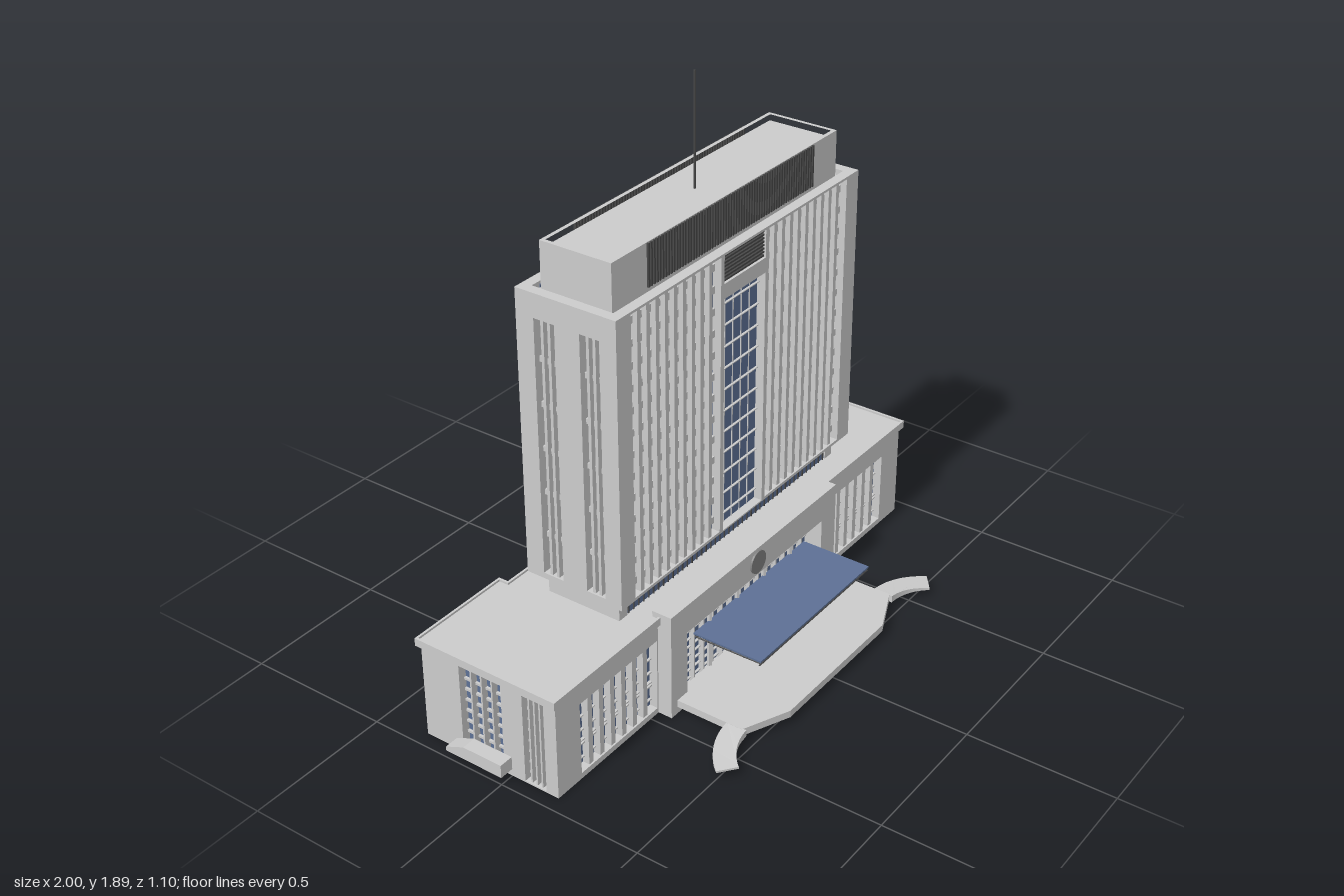
import * as THREE from 'three';
import { mergeGeometries } from 'three/addons/utils/BufferGeometryUtils.js';

const paint = (color) => new THREE.MeshStandardMaterial({ color, flatShading: true });
const GREY = paint(0xcccccc), GLASS = paint(0x5d7095), DARK = paint(0x484848), MID = paint(0x808080);

// One mesh from several geometries
function part(parent, name, geos, mat = GREY) {
  const flat = geos.map((g) => (g.index ? g.toNonIndexed() : g));
  const mesh = new THREE.Mesh(mergeGeometries(flat), mat);
  mesh.name = name;
  parent.add(mesh);
  return mesh;
}

// Box given by its limits
function box(x0, x1, y0, y1, z0, z1) {
  return new THREE.BoxGeometry(x1 - x0, y1 - y0, z1 - z0)
    .translate((x0 + x1) / 2, (y0 + y1) / 2, (z0 + z1) / 2);
}

// Thin round bar between two points
function rod(a, b, r = 0.003) {
  const p = new THREE.Vector3(...a), q = new THREE.Vector3(...b), d = q.clone().sub(p);
  const turn = new THREE.Quaternion().setFromUnitVectors(new THREE.Vector3(0, 1, 0), d.clone().normalize());
  return new THREE.CylinderGeometry(r, r, d.length(), 6).applyQuaternion(turn)
    .translate(...p.add(q).multiplyScalar(0.5).toArray());
}

const polygon = (pts) => new THREE.Shape(pts.map(([x, y]) => new THREE.Vector2(x, y)));
const rect = (x0, x1, y0, y1) => polygon([[x0, y0], [x1, y0], [x1, y1], [x0, y1]]);

// Plan outline (x, z) raised to a slab
function slab(pts, y0, y1, hole) {
  const shape = polygon(pts.map(([x, z]) => [x, -z]));
  if (hole) shape.holes.push(polygon(hole.map(([x, z]) => [x, -z])));
  return new THREE.ExtrudeGeometry(shape, { depth: y1 - y0, bevelEnabled: false })
    .rotateX(-Math.PI / 2).translate(0, y0, 0);
}

// Wall with recessed bays; each bay has glass, upright ribs and cross bands.
// Local frame: x along the wall, outer face at z = 0.
function facade(parent, name, [x, z, turn], [u0, u1, y0, y1], bays, t = 0.035) {
  const g = new THREE.Group();
  g.name = name;
  g.position.set(x, 0, z);
  g.rotation.y = turn;
  parent.add(g);
  const shape = rect(u0, u1, y0, y1), glass = [], bars = [], louvres = [];
  for (const b of bays) {
    const [a, c, d, e] = b.at;
    shape.holes.push(rect(a, c, d, e));
    glass.push(box(a, c, d, e, -t - 0.002, -t + 0.005));
    const pitch = (c - a) / b.cols, rib = b.rib ?? 0.012;
    for (let i = 1; i < b.cols; i++) {
      bars.push(box(a + i * pitch - rib / 2, a + i * pitch + rib / 2, d, e, -t, b.front ?? -0.006));
    }
    const band = b.band ?? 0.02;
    for (let i = 0; i < b.rows; i++) {
      const y = d + (i + 0.5) * (e - d) / b.rows;
      (b.louvre ? louvres : bars).push(box(a, c, y - band / 2, y + band / 2, -t, b.louvre ? -0.006 : -t + 0.013));
    }
    for (const y of b.bands ?? []) bars.push(box(a, c, y - band / 2, y + band / 2, -t, -t + 0.015));
  }
  part(g, name + 'Wall', [new THREE.ExtrudeGeometry(shape, { depth: t, bevelEnabled: false }).translate(0, 0, -t)]);
  part(g, name + 'Glass', glass, GLASS);
  if (bars.length) part(g, name + 'Bars', bars);
  if (louvres.length) part(g, name + 'Louvres', louvres, DARK);
}

function buildTower(root) {
  const g = new THREE.Group();
  g.name = 'tower';
  g.position.set(0.0525, 0, -0.05);
  root.add(g);
  part(g, 'towerCore', [box(-0.593, 0.593, 0.432, 1.38, -0.146, 0.146)]);
  const grid = { cols: 10, rows: 13, rib: 0.016, band: 0.024 };
  const longBays = [
    { ...grid, at: [-0.56, -0.125, 0.44, 1.392] },
    { ...grid, at: [0.125, 0.56, 0.44, 1.392] },
    { at: [-0.108, 0.108, 0.435, 1.25], cols: 5, rows: 11, rib: 0.003, band: 0.003, front: -0.027 },
    { at: [-0.108, 0.108, 1.3, 1.392], cols: 1, rows: 8, band: 0.006, louvre: true },
  ];
  const strip = { cols: 3, rows: 0, bands: [0.58, 0.73, 0.88, 1.03, 1.18], rib: 0.01, band: 0.018 };
  const endBays = [
    { ...strip, at: [-0.12, -0.05, 0.45, 1.32] },
    { ...strip, at: [0.04, 0.115, 0.45, 1.32] },
  ];
  const flipped = endBays.map((b) => ({ ...b, at: [-b.at[1], -b.at[0], b.at[2], b.at[3]] }));
  facade(g, 'towerFront', [0, 0.18, 0], [-0.628, 0.628, 0.43, 1.4], longBays);
  facade(g, 'towerBack', [0, -0.18, Math.PI], [-0.628, 0.628, 0.43, 1.4], longBays);
  facade(g, 'towerLeft', [0.628, 0, Math.PI / 2], [-0.145, 0.145, 0.43, 1.4], endBays);
  facade(g, 'towerRight', [-0.628, 0, -Math.PI / 2], [-0.145, 0.145, 0.43, 1.4], flipped);

  // Glazed neck under the tower
  part(g, 'neckGlass', [box(-0.56, 0.56, 0.35, 0.432, -0.125, 0.135)], GLASS);
  part(g, 'neckPiers', [-1, 1].map((s) => box(s * 0.57 - 0.02, s * 0.57 + 0.02, 0.35, 0.432, -0.13, 0.14)));
  const mullions = [];
  for (let i = 0; i < 44; i++) {
    const x = -0.54 + i * 1.08 / 43;
    mullions.push(box(x - 0.002, x + 0.002, 0.355, 0.43, -0.129, 0.139));
  }
  part(g, 'neckMullions', mullions, DARK);

  // Crown with parapet, louvre slats and mast
  const ring = (x, z) => [[-x, -z], [x, -z], [x, z], [-x, z]];
  part(g, 'crownParapet', [slab(ring(0.575, 0.127), 1.38, 1.54, ring(0.562, 0.114))]);
  part(g, 'crownRoof', [box(-0.565, 0.565, 1.5, 1.518, -0.117, 0.117)]);
  const slats = [];
  for (let i = 0; i < 64; i++) {
    const x = -0.41 + i * 0.845 / 63;
    for (const s of [-1, 1]) slats.push(box(x - 0.0035, x + 0.0035, 1.4, 1.538, s * 0.129 - 0.004, s * 0.129 + 0.004));
  }
  part(g, 'crownSlats', slats, DARK);
  part(g, 'mast', [rod([0, 1.5, -0.005], [0, 1.89, -0.005], 0.0035)], DARK);
}

function buildPodium(root) {
  const g = new THREE.Group();
  g.name = 'podium';
  root.add(g);
  part(g, 'podiumCore', [box(-0.58, 0.58, 0.002, 0.34, -0.265, 0.14),
    box(0.55, 0.915, 0.002, 0.34, -0.3, 0.14), box(-0.915, -0.55, 0.002, 0.34, -0.3, 0.14)]);
  const outline = (i) => [[-0.965 + i, 0.185 - i], [0.965 - i, 0.185 - i], [0.965 - i, -0.345 + i],
    [0.58 + i, -0.345 + i], [0.58 + i, -0.31 + i], [-0.58 - i, -0.31 + i], [-0.58 - i, -0.345 + i], [-0.965 + i, -0.345 + i]];
  part(g, 'roofSlab', [slab(outline(0), 0.335, 0.355)]);
  part(g, 'roofRim', [slab(outline(0), 0.355, 0.362, outline(0.008))]);

  const tall = { rib: 0.014, band: 0.008, rows: 8 };
  for (const s of [-1, 1]) {
    const side = s > 0 ? 'left' : 'right';
    const span = (a, b) => (s > 0 ? [a, b] : [-b, -a]);
    const back = (a, b) => (s > 0 ? [-b, -a] : [a, b]);
    facade(g, side + 'FrontWing', [0, 0.175, 0], [...span(0.44, 0.95), 0, 0.338],
      [{ at: [...span(0.465, 0.84), 0.02, 0.275], cols: 7, rows: 5, band: 0.004, rib: 0.02, bands: [0.1, 0.112] }]);
    facade(g, side + 'BackWing', [0, -0.335, Math.PI], [...back(0.58, 0.95), 0, 0.338],
      [{ at: [...back(0.63, 0.88), 0.02, 0.275], cols: 5, rows: 5, band: 0.004, rib: 0.02, bands: [0.1, 0.112] }]);
    facade(g, side + 'BackLink', [0, -0.3, Math.PI], [...back(0.3, 0.58), 0, 0.338],
      [{ at: [...back(0.375, 0.5), 0.02, 0.275], cols: 3, rows: 4, band: 0.006, rib: 0.018 }]);
    facade(g, side + 'End', [s * 0.95, 0, s * Math.PI / 2], [...back(-0.3, 0.14), 0, 0.338].map((v) => v)
      .map((v, i) => (i === 0 ? (s > 0 ? -0.14 : -0.3) : i === 1 ? (s > 0 ? 0.3 : 0.14) : v)),
      [{ ...tall, at: [...back(0.05, 0.13), 0.005, 0.32], cols: 4, rib: 0.006 },
        { ...tall, at: [...back(-0.19, -0.03), 0.005, 0.32], cols: 4, rib: 0.006 }]);
    // Side step with sloping ramp
    const profile = polygon([[0, 0.025], [0.215, 0.025], [0.215, 0.04], [0.145, 0.07], [0, 0.07]]
      .map(([u, y]) => [s * u, y]));
    const step = part(g, side + 'SideStep', [new THREE.ExtrudeGeometry(profile, { depth: 0.05, bevelEnabled: false })]);
    step.position.x = s * 0.95;
    step.rotation.y = s * Math.PI / 2;
  }

  // Entrance portals with round emblems
  const portal = { rows: 9, band: 0.003, rib: 0.005, front: -0.045 };
  facade(g, 'frontPortal', [0, 0.225, 0], [-0.46, 0.46, 0, 0.375],
    [{ ...portal, at: [-0.378, 0.378, 0.005, 0.275], cols: 15 }], 0.07);
  facade(g, 'backPortal', [0, -0.32, Math.PI], [-0.315, 0.315, 0, 0.375],
    [{ ...portal, at: [-0.24, 0.24, 0.005, 0.27], cols: 9 }], 0.07);
  part(g, 'emblemDiscs', [0.226, -0.321].map((z) =>
    new THREE.CylinderGeometry(0.04, 0.04, 0.01, 32).rotateX(Math.PI / 2).translate(0, 0.325, z)), MID);
  part(g, 'entranceColumns', [-0.225, -0.075, 0.075, 0.225].map((x) => rod([x, 0, 0.2], [x, 0.275, 0.2], 0.009)));
}

function buildEntrances(root) {
  const g = new THREE.Group();
  g.name = 'entrances';
  root.add(g);
  // Front terrace and its curved ramps
  part(g, 'frontTerrace', [slab([[-0.43, 0.2], [-0.43, 0.465], [-0.27, 0.535], [0.27, 0.535], [0.43, 0.465], [0.43, 0.2]], 0.025, 0.05)]);
  for (const s of [-1, 1]) {
    const arc = new THREE.Shape(), mid = Math.PI / 2, end = mid - s * 0.91;
    arc.absarc(0, 0, 0.24, mid, end, s > 0);
    arc.absarc(0, 0, 0.17, end, mid, s < 0);
    const geo = new THREE.ExtrudeGeometry(arc, { depth: 0.025, bevelEnabled: false, curveSegments: 14 }).rotateX(-Math.PI / 2);
    const p = geo.attributes.position;
    for (let i = 0; i < p.count; i++) {
      const f = Math.atan2(Math.abs(p.getX(i)), -p.getZ(i)) / 0.91;
      if (p.getY(i) > 0.01) p.setY(i, 0.025 - 0.018 * f);
    }
    part(g, s > 0 ? 'leftRamp' : 'rightRamp', [geo.translate(s * 0.425, 0.025, 0.648)]);
  }
  // Back terrace with sloping edge
  const wedge = polygon([[0.28, 0.025], [0.455, 0.025], [0.455, 0.032], [0.41, 0.053], [0.28, 0.053]]);
  part(g, 'backTerrace', [new THREE.ExtrudeGeometry(wedge, { depth: 0.69, bevelEnabled: false })
    .rotateY(Math.PI / 2).translate(-0.345, 0, 0)]).rotation.y = 0;

  // Front canopy on zigzag trusses
  part(g, 'frontCanopy', [box(-0.31, 0.31, 0.217, 0.223, 0.2, 0.45)], GLASS);
  const truss = [rod([-0.31, 0.207, 0.445], [0.31, 0.207, 0.445])];
  for (const x of [-0.3, -0.225, -0.075, 0.075, 0.225, 0.3]) {
    truss.push(rod([x, 0.203, 0.2], [x, 0.207, 0.445]));
    for (let i = 0; i < 8; i++) {
      const z = 0.2 + i * 0.0305, up = i % 2;
      truss.push(rod([x, up ? 0.217 : 0.203, z], [x, up ? 0.203 : 0.217, z + 0.0305], 0.002));
    }
  }
  for (let i = 0; i < 24; i++) {
    const x = -0.3 + i * 0.025;
    truss.push(rod([x, i % 2 ? 0.217 : 0.205, 0.445], [x + 0.025, i % 2 ? 0.205 : 0.217, 0.445], 0.002));
  }
  part(g, 'frontTruss', truss, DARK);

  // Back canopy with skewed lattice and stays
  part(g, 'backCanopy', [box(-0.235, 0.235, 0.237, 0.242, -0.455, -0.3)], GLASS);
  const lattice = [], outer = (x) => -0.553 + 0.4 * (x + 0.178);
  for (let i = 0; i <= 8; i++) {
    const x = -0.178 + i * 0.045;
    lattice.push(rod([x, 0.23, outer(x)], [x, 0.23, -0.32], 0.004));
  }
  for (let j = 0; j <= 5; j++) {
    const at = (x) => [x, 0.23, THREE.MathUtils.lerp(outer(x), -0.325, j / 5)];
    lattice.push(rod(at(-0.178), at(0.182), 0.004));
  }
  lattice.push(rod([-0.125, 0.31, -0.32], [-0.125, 0.235, -0.48]), rod([0.13, 0.31, -0.32], [0.13, 0.235, -0.42]));
  part(g, 'backLattice', lattice, DARK);
}

export function createModel() {
  const root = new THREE.Group();
  root.name = 'officeTower';
  buildPodium(root);
  buildTower(root);
  buildEntrances(root);
  return root;
}
